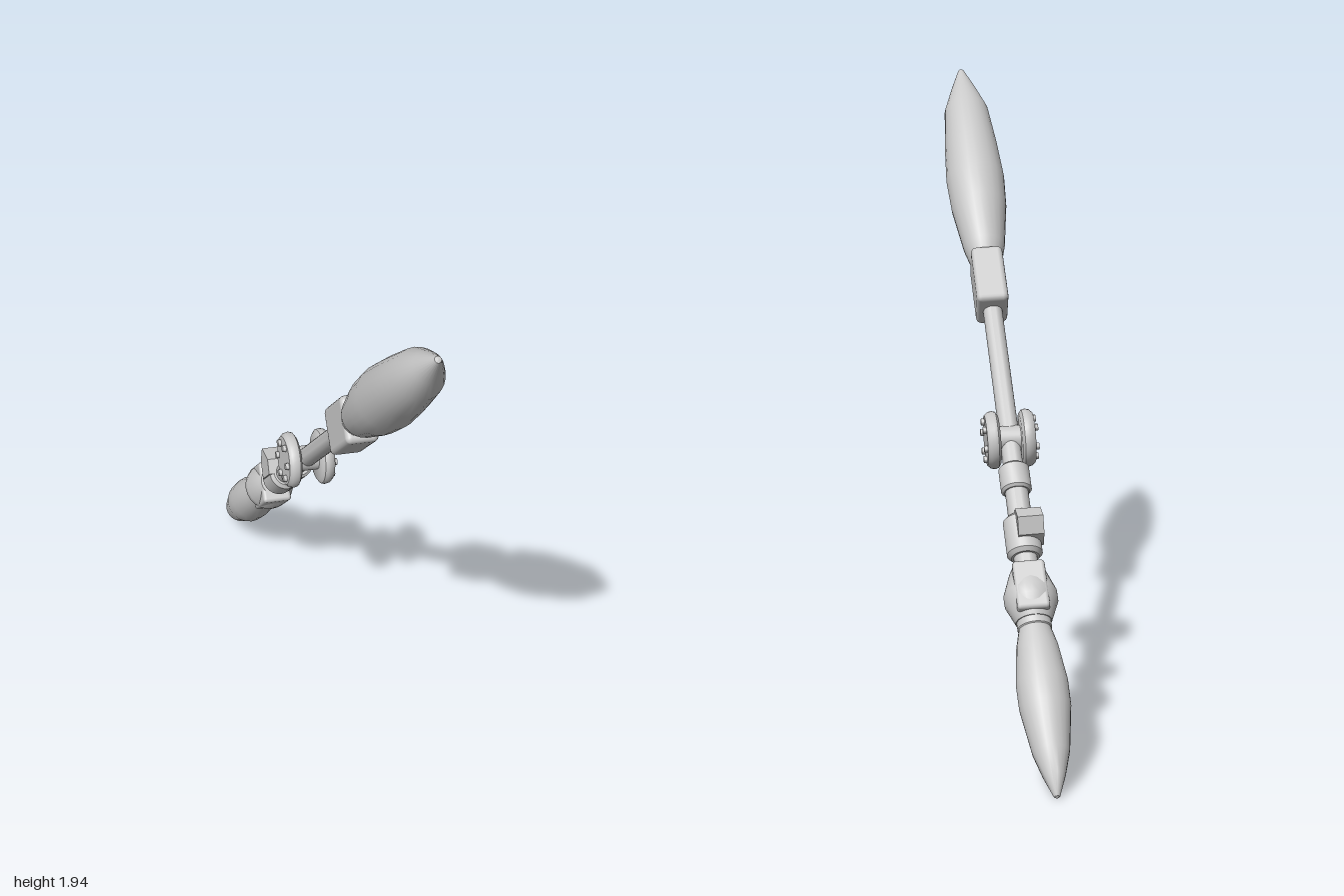
import * as THREE from 'three';
import { toCreasedNormals } from 'three/addons/utils/BufferGeometryUtils.js';
import { RoundedBoxGeometry } from 'three/addons/geometries/RoundedBoxGeometry.js';

export function createModel() {
  const gray = new THREE.MeshStandardMaterial({ color: 0xc8c8c8 });
  gray.name = 'light gray';

  const model = new THREE.Group();
  model.name = 'tiltedArm';

  // The arm is built along local y, hanging down from its upper tip, then tilted.
  const arm = new THREE.Group();
  arm.name = 'arm';
  const along = new THREE.Vector3(0.21, 1.935, 2.0).normalize();
  const side = new THREE.Vector3(1, 0, 0).addScaledVector(along, -along.x).normalize();
  const up = new THREE.Vector3().crossVectors(side, along);
  arm.quaternion.setFromRotationMatrix(new THREE.Matrix4().makeBasis(side, along, up));
  arm.position.set(0.1, 1.935, 0.995);
  model.add(arm);

  const add = (name, geometry, parent = arm) => {
    const mesh = new THREE.Mesh(geometry, gray);
    mesh.name = name;
    parent.add(mesh);
    return mesh;
  };

  // Turned part from [radius, distance from upper tip] pairs
  const turned = (name, profile, segments = 24) => {
    const points = profile.map(([r, t]) => new THREE.Vector2(r, -t)).reverse();
    return add(name, toCreasedNormals(new THREE.LatheGeometry(points, segments), 0.7));
  };

  // Short collar with bevelled rims
  const collar = (name, t0, t1, r, b = 0.008) => turned(name,
    [[0, t0], [r - b, t0], [r, t0 + b], [r, t1 - b], [r - b, t1], [0, t1]]);

  const block = (name, w, t0, t1, d, radius) => {
    const mesh = add(name, new RoundedBoxGeometry(w, t1 - t0, d, 2, radius));
    mesh.position.y = -(t0 + t1) / 2;
    return mesh;
  };

  // Pods at both ends
  turned('upperPod', [[0, 0], [0.01, 0.004], [0.046, 0.1], [0.076, 0.19], [0.091, 0.35],
    [0.1, 0.5], [0.094, 0.62], [0.07, 0.79], [0.055, 0.85], [0.035, 0.885], [0, 0.895]]);
  turned('lowerPod', [[0, 2.21], [0.045, 2.22], [0.064, 2.3], [0.079, 2.42], [0.078, 2.5],
    [0.056, 2.645], [0.034, 2.72], [0.009, 2.785], [0, 2.79]]);

  // Socket and main rod
  block('upperSocket', 0.105, 0.835, 1.055, 0.15, 0.018);
  turned('mainRod', [[0, 1.0], [0.032, 1.0], [0.032, 2.1], [0, 2.1]]);

  // Pivot: two bolted discs on a short axle
  const pivot = new THREE.Group();
  pivot.name = 'pivot';
  pivot.position.y = -1.555;
  arm.add(pivot);
  const axle = add('axle', toCreasedNormals(new THREE.CylinderGeometry(0.042, 0.042, 0.1, 20), 0.7), pivot);
  axle.rotation.z = Math.PI / 2;

  const discProfile = [[0, 0.034], [0.078, 0.034], [0.09, 0.042], [0.093, 0.053],
    [0.09, 0.067], [0.08, 0.077], [0, 0.077]].map(([r, y]) => new THREE.Vector2(r, y));
  const discGeometry = toCreasedNormals(new THREE.LatheGeometry(discProfile, 32), 0.7);
  const boltGeometry = toCreasedNormals(new THREE.CylinderGeometry(0.011, 0.012, 0.014, 10), 0.7);
  for (const s of [1, -1]) {
    const disc = new THREE.Group();
    disc.name = s > 0 ? 'leftDisc' : 'rightDisc';
    disc.rotation.z = -s * Math.PI / 2;
    pivot.add(disc);
    add('disc', discGeometry, disc);
    for (let i = 0; i < 6; i++) {
      const a = i * Math.PI / 3 + 0.5;
      add('bolt', boltGeometry, disc).position.set(0.06 * Math.cos(a), 0.081, 0.06 * Math.sin(a));
    }
  }

  // Collars on the lower shaft
  collar('shaftCollar', 1.662, 1.755, 0.049);
  turned('lowerShaft', [[0, 1.74], [0.037, 1.74], [0.037, 2.1], [0, 2.1]]);
  collar('clampRing', 1.85, 1.99, 0.056, 0.012);

  // Wedge-shaped latch on the back of the clamp, as [height, distance] corners
  const latchShape = new THREE.Shape([[0, 1.85], [0.05, 1.842], [0.099, 1.9], [0.062, 1.944], [0, 1.95]]
    .map(([n, t]) => new THREE.Vector2(n, -t)));
  const latchGeometry = new THREE.ExtrudeGeometry(latchShape, { depth: 0.08, bevelEnabled: false });
  latchGeometry.translate(0, 0, -0.04).rotateY(Math.PI / 2);
  add('latch', latchGeometry).position.x = -0.022;

  // Flared joint with a block through it, then the lower socket
  turned('flaredJoint', [[0, 2.035], [0.05, 2.035], [0.058, 2.05], [0.083, 2.12],
    [0.083, 2.15], [0.056, 2.215], [0, 2.215]]);
  block('jointBlock', 0.1, 2.035, 2.2, 0.145, 0.012);
  collar('lowerSocket', 2.19, 2.245, 0.053);

  return model;
}
